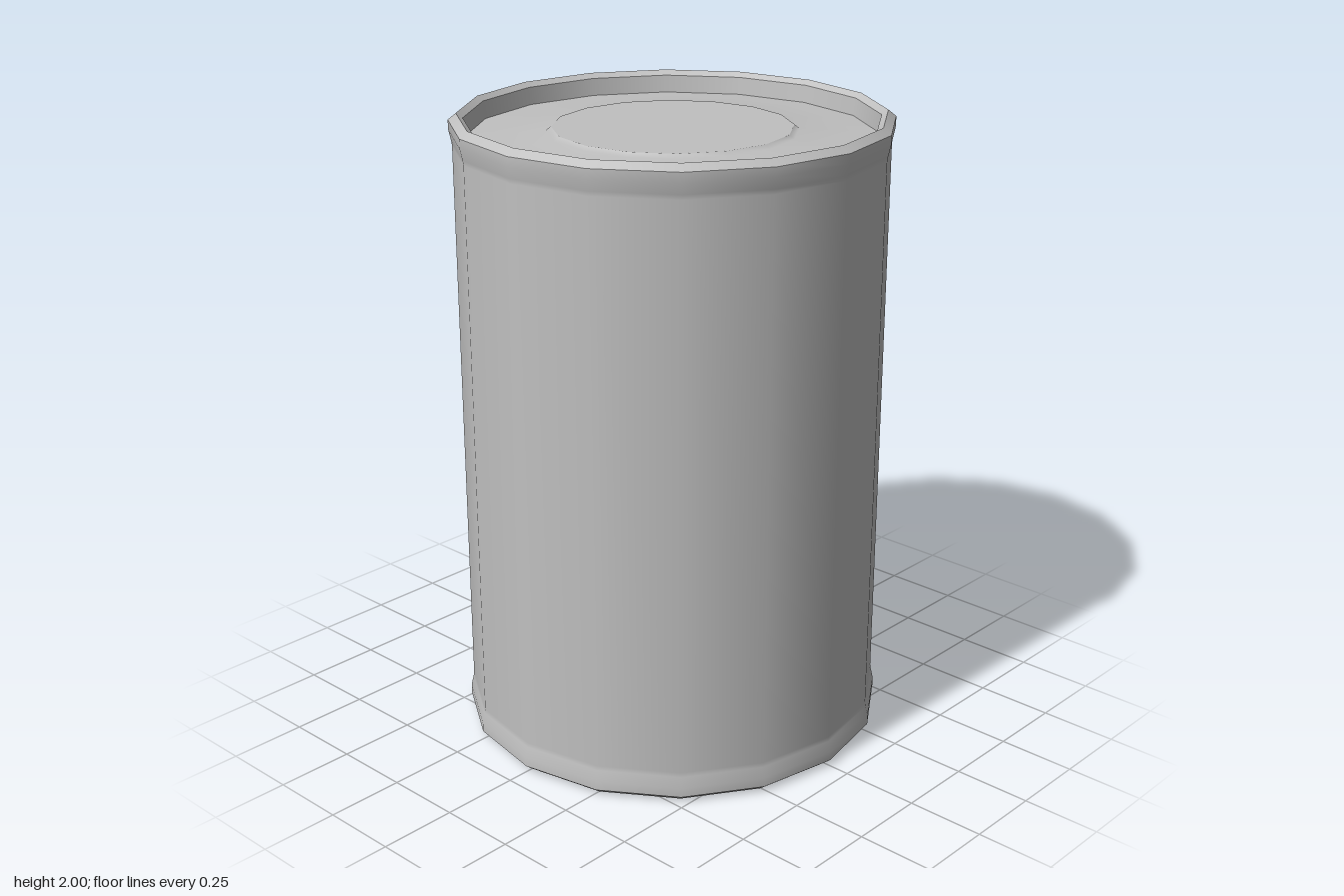
import * as THREE from 'three';

const SIDES = 16;
const HEIGHT = 2;

export function createModel() {
  const can = new THREE.Group();
  can.name = 'tinCan';
  const tin = new THREE.MeshStandardMaterial({ color: 0xc0c0c0 });
  tin.name = 'tin grey';

  // Each band is its own lathe, so it is smooth inside and sharp at its edges
  const addBand = (name, profile, parent) => {
    const points = profile.map(([r, y]) => new THREE.Vector2(r, y));
    const mesh = new THREE.Mesh(new THREE.LatheGeometry(points, SIDES), tin);
    mesh.name = name;
    parent.add(mesh);
  };

  // Side wall with a slight bulge at both ends
  const lowerBead = [[0.68, 0.02], [0.68, 0.05], [0.672, 0.085], [0.67, 0.1]];
  const upperBead = lowerBead.map(([r, y]) => [r, HEIGHT - y]).reverse();
  addBand('sideWall', [...lowerBead, ...upperBead], can);

  // End profiles run from the outer edge to the centre of the lid
  const endBands = {
    RimBevel: [[0.68, 1.98], [0.655, 2]],
    RimInnerBevel: [[0.655, 2], [0.635, 1.985]],
    RimInnerWall: [[0.635, 1.985], [0.628, 1.93]],
    LidOuterRing: [[0.628, 1.93], [0.545, 1.935]],
    LidSlope: [[0.545, 1.935], [0.385, 1.945], [0.37, 1.957]],
    LidCentre: [[0.37, 1.957], [0, 1.957]],
  };
  for (const end of ['top', 'bottom']) {
    const group = new THREE.Group();
    group.name = end + 'End';
    for (const [part, profile] of Object.entries(endBands)) {
      addBand(end + part, profile, group);
    }
    // The bottom is the same end turned over
    if (end === 'bottom') {
      group.rotation.x = Math.PI;
      group.position.y = HEIGHT;
    }
    can.add(group);
  }
  return can;
}
